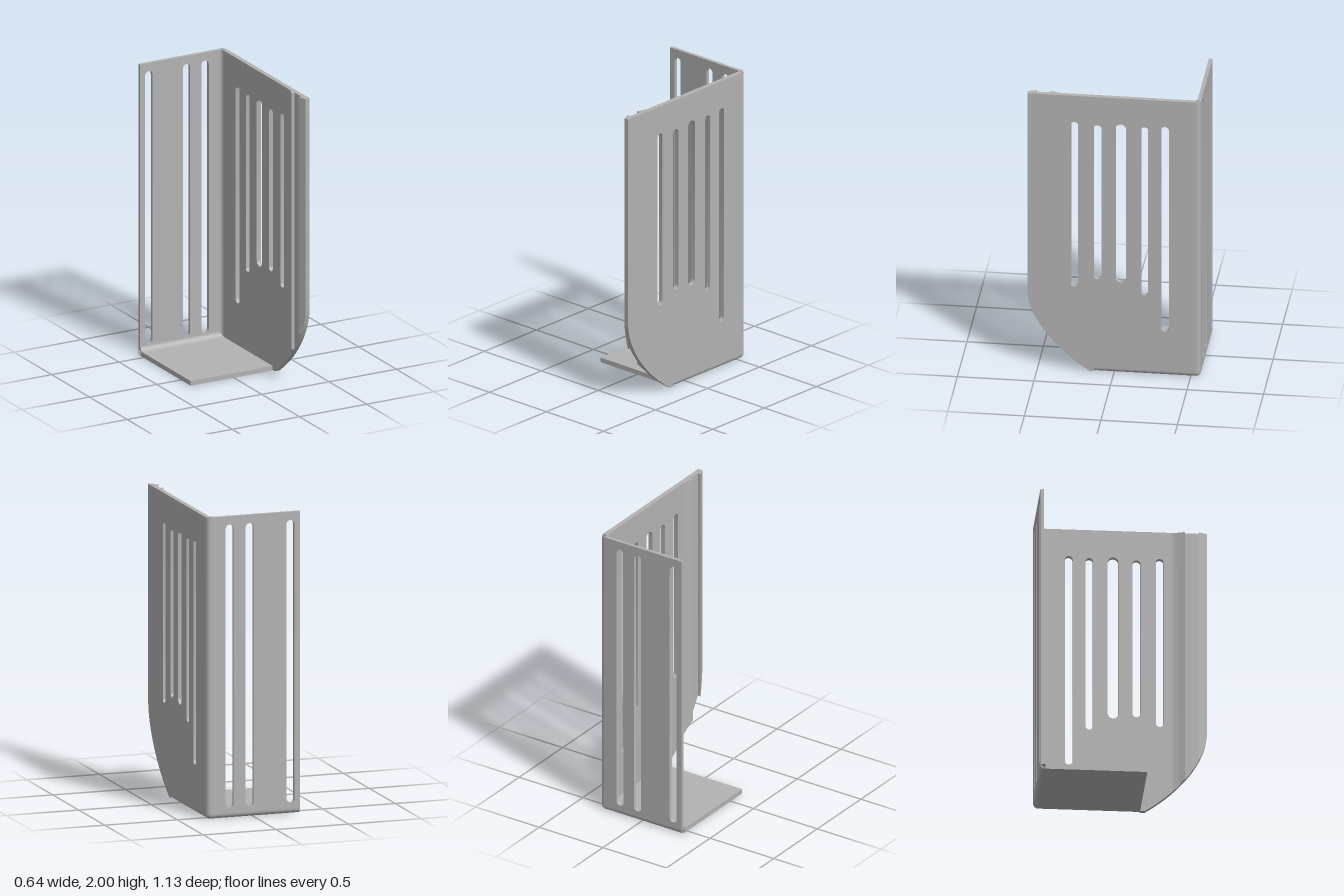
import * as THREE from 'three';
import { toCreasedNormals } from 'three/addons/utils/BufferGeometryUtils.js';

const T = 0.032;                      // sheet thickness and outer bend radius
const BT = 0.024;                     // back wall thickness
const L = -0.32, R = 0.32, BACK = -0.565, FRONT = 0.565, TOP = 2;
const PLATE_FRONT = 0.13;
const IN = R - T, BEND_Z = BACK + T;  // bend centre lines

// Lower front edge of the side panel, as (z, y)
const edge = new THREE.CubicBezierCurve(
  new THREE.Vector2(FRONT, 0.55), new THREE.Vector2(0.55, 0.36),
  new THREE.Vector2(0.38, 0.15), new THREE.Vector2(0.16, 0.004));
const edgePoints = edge.getPoints(32);

function edgeY(z) {
  for (let i = 1; i < edgePoints.length; i++) {
    const a = edgePoints[i - 1], b = edgePoints[i];
    if (z <= a.x && z >= b.x) return a.y + (b.y - a.y) * (a.x - z) / (a.x - b.x);
  }
  return 0.55;
}

function polygon(points) {
  return new THREE.Shape(points.map(([x, y]) => new THREE.Vector2(x, y)));
}

function rect(x0, y0, x1, y1) {
  return polygon([[x0, y0], [x1, y0], [x1, y1], [x0, y1]]);
}

// Vertical slot with round ends
function slot(x, width, y0, y1) {
  const r = width / 2, p = new THREE.Path();
  p.absarc(x, y1 - r, r, 0, Math.PI, false);
  p.absarc(x, y0 + r, r, Math.PI, Math.PI * 2, false);
  p.closePath();
  return p;
}

// Quarter disc for an outer bend
function quarter(cx, cy, start) {
  const s = new THREE.Shape();
  s.moveTo(cx, cy);
  s.absarc(cx, cy, T, start, start + Math.PI / 2, false);
  s.closePath();
  return s;
}

// Concave fillet filling an inner corner
function fillet(cx, cy, dx, dy, r) {
  const s = new THREE.Shape();
  s.moveTo(cx, cy);
  s.lineTo(cx + dx * r, cy);
  s.bezierCurveTo(cx + dx * r * 0.45, cy, cx, cy + dy * r * 0.45, cx, cy + dy * r);
  s.closePath();
  return s;
}

// Extrude along z (shape is x,y), x (shape is -z,y) or y (shape is x,-z)
function prism(shape, axis, from, to) {
  const g = new THREE.ExtrudeGeometry(shape, { depth: to - from, bevelEnabled: false, curveSegments: 12 });
  g.translate(0, 0, from);
  if (axis === 'x') g.rotateY(Math.PI / 2);
  if (axis === 'y') g.rotateX(-Math.PI / 2);
  return g;
}

export function createModel() {
  const model = new THREE.Group();
  model.name = 'slottedBracket';
  const grey = new THREE.MeshStandardMaterial({ color: 0xb2b2b2 });
  grey.name = 'grey';

  const add = (name, geometry) => {
    const mesh = new THREE.Mesh(toCreasedNormals(geometry, 0.5), grey);
    mesh.name = name;
    model.add(mesh);
  };

  // Side panel with curved lower front and five slots
  const side = polygon([
    [-BEND_Z, TOP], [-FRONT, TOP],
    ...edgePoints.map((p) => [-p.x, p.y]),
    [-PLATE_FRONT, 0.004], [-PLATE_FRONT, T], [-BEND_Z, T],
  ]);
  const sideSlots = [
    [0.258, 0.048, 0.61, 1.81], [0.107, 0.052, 0.675, 1.795], [-0.045, 0.07, 0.66, 1.81],
    [-0.2, 0.048, 0.575, 1.8], [-0.333, 0.052, 0.32, 1.81],
  ];
  for (const [z, w, y0, y1] of sideSlots) side.holes.push(slot(-z, w, y0, y1));
  add('sidePanel', prism(side, 'x', IN, R));

  // Back panel with three long slots
  const back = rect(L, T, IN, TOP);
  for (const x of [-0.255, 0.025, 0.163]) back.holes.push(slot(x, 0.055, 0.07, 1.945));
  add('backPanel', prism(back, 'z', BACK, BACK + BT));

  // Bottom plate
  add('bottomPlate', prism(rect(L, 0, IN, T), 'z', BEND_Z, PLATE_FRONT));

  // Rounded outer bends and their shared corner
  add('verticalBend', prism(quarter(IN, -BEND_Z, 0), 'y', T, TOP));
  add('backBottomBend', prism(quarter(-BEND_Z, T, -Math.PI / 2), 'x', L, IN));
  add('sideBottomBend', prism(quarter(IN, T, -Math.PI / 2), 'z', BEND_Z, PLATE_FRONT));
  const corner = new THREE.SphereGeometry(T, 12, 8, Math.PI, Math.PI / 2, Math.PI / 2, Math.PI / 2);
  corner.translate(IN, T, BEND_Z);
  add('roundedCorner', corner);

  // Inner fillets
  add('verticalFillet', prism(fillet(IN, -(BACK + BT), -1, -1, 0.025), 'y', T, TOP));
  add('bottomFillet', prism(fillet(-(BACK + BT), T, -1, 1, 0.035), 'x', L, IN));

  // Two catch ridges inside the front edge, cut off along the curved edge
  const ridges = {
    rearRidge: [[IN, 0.34], [0.284, 0.37], [0.275, 0.395], [0.265, 0.42], [IN, 0.42]],
    frontRidge: [[IN, 0.51], [0.267, 0.51], [0.277, 0.538], [IN, FRONT]],
  };
  for (const [name, outline] of Object.entries(ridges)) {
    const g = prism(polygon(outline.map(([x, z]) => [x, -z])), 'y', 0, TOP);
    const p = g.attributes.position;
    for (let i = 0; i < p.count; i++) {
      if (p.getY(i) < 1) p.setY(i, edgeY(p.getZ(i)));
    }
    add(name, g);
  }

  return model;
}
